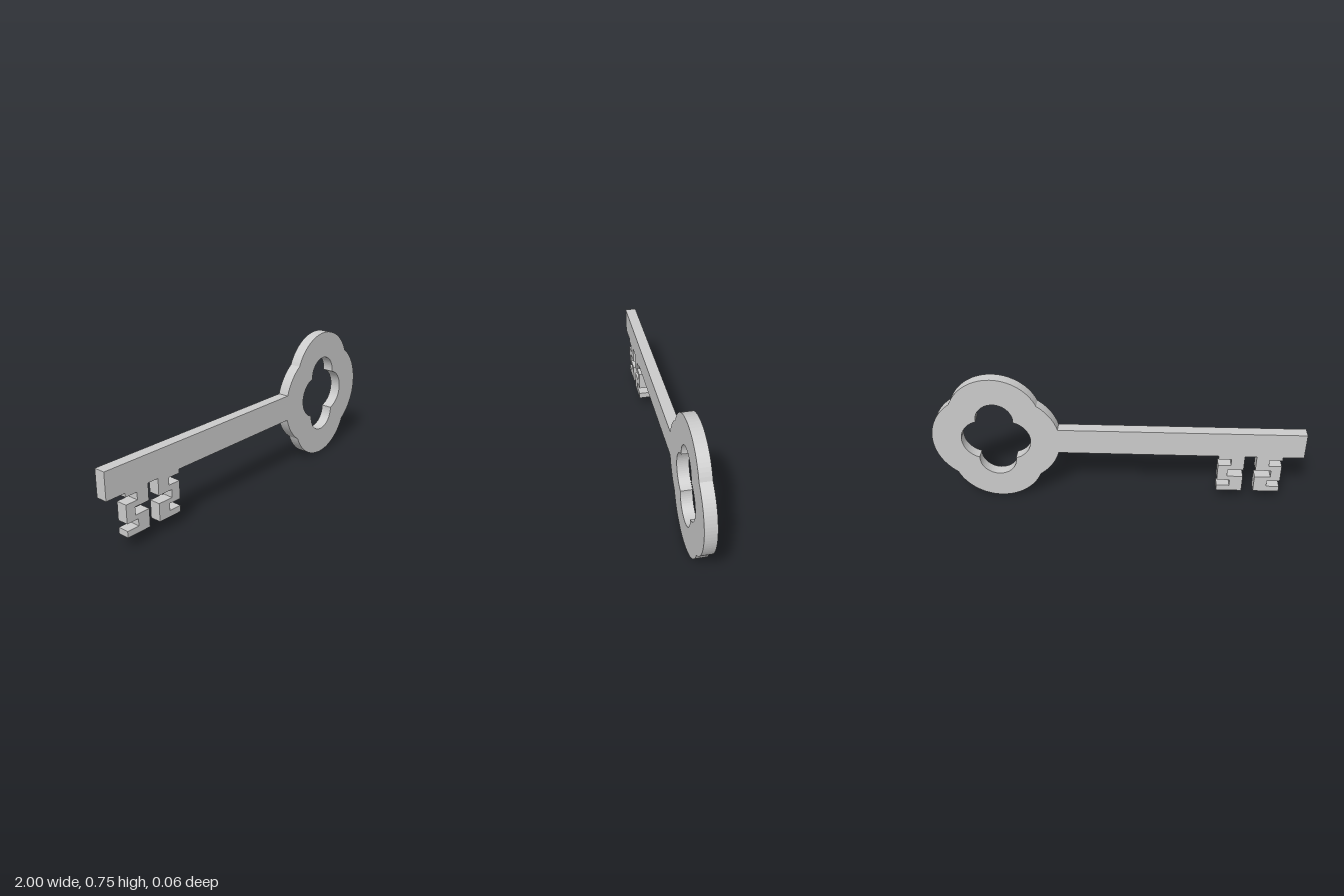
import * as THREE from 'three';

const THICK = 0.062;
const BOW = { x: 0.655, y: 0.375 };
const SHAFT_HALF = 0.073;
const BIT_X = -0.717;

// Adds one bow lobe: an arc over a chord, pointing along dir.
// from / to trim the arc (angles relative to dir).
function lobe(path, dir, { half, base, apex }, from, to) {
  const rise = apex - base;
  const r = (half * half + rise * rise) / (2 * rise);
  const c = apex - r;
  const sweep = Math.atan2(half, base - c);
  const trim = Math.asin(SHAFT_HALF / r);
  const a = from === 'shaft' ? trim : -sweep;
  const b = to === 'shaft' ? -trim : sweep;
  path.absarc(BOW.x + c * Math.cos(dir), BOW.y + c * Math.sin(dir), r, dir + a, dir + b, false);
}

// Half of the bit, as [distance from the bit's middle, height], outer edge first
const bitHalf = [
  [0.172, 0.302], [0.172, 0.281], [0.102, 0.281], [0.102, 0.241],
  [0.172, 0.241], [0.172, 0.142], [0.102, 0.142], [0.102, 0.104],
  [0.172, 0.104], [0.172, 0.07], [0.032, 0.07], [0.032, 0.168],
  [0.118, 0.168], [0.118, 0.211], [0.032, 0.211], [0.032, 0.302],
];

export function createModel() {
  const group = new THREE.Group();
  group.name = 'key';

  const outline = new THREE.Shape();
  const low = BOW.y - SHAFT_HALF, high = BOW.y + SHAFT_HALF;

  // Shaft underside with the two mirrored halves of the bit
  outline.moveTo(-1, high);
  outline.lineTo(-1, low);
  for (const [d, y] of bitHalf) outline.lineTo(BIT_X - d, y);
  for (const [d, y] of [...bitHalf].reverse()) outline.lineTo(BIT_X + d, y);

  // Bow outline: four lobes, the left one interrupted by the shaft
  const side = { half: 0.22, base: 0.23, apex: 0.345 };
  const tall = { half: 0.23, base: 0.22, apex: 0.374 };
  lobe(outline, Math.PI, side, 'shaft');
  lobe(outline, Math.PI * 1.5, tall);
  lobe(outline, Math.PI * 2, side);
  lobe(outline, Math.PI * 2.5, tall);
  lobe(outline, Math.PI * 3, side, undefined, 'shaft');
  outline.closePath();

  // Four-lobed opening in the bow
  const opening = new THREE.Path();
  const innerSide = { half: 0.115, base: 0.1, apex: 0.187 };
  const innerTall = { half: 0.1, base: 0.115, apex: 0.224 };
  for (let i = 0; i < 4; i++) lobe(opening, i * Math.PI / 2, i % 2 ? innerTall : innerSide);
  opening.closePath();
  outline.holes.push(opening);

  // Bow, shaft and bit are one flat plate
  const geometry = new THREE.ExtrudeGeometry(outline, { depth: THICK, bevelEnabled: false, curveSegments: 14 });
  geometry.translate(0, 0, -THICK / 2);
  const plate = new THREE.Mesh(geometry, new THREE.MeshStandardMaterial({ color: 0xcccccc }));
  plate.name = 'keyPlate';
  group.add(plate);
  return group;
}
